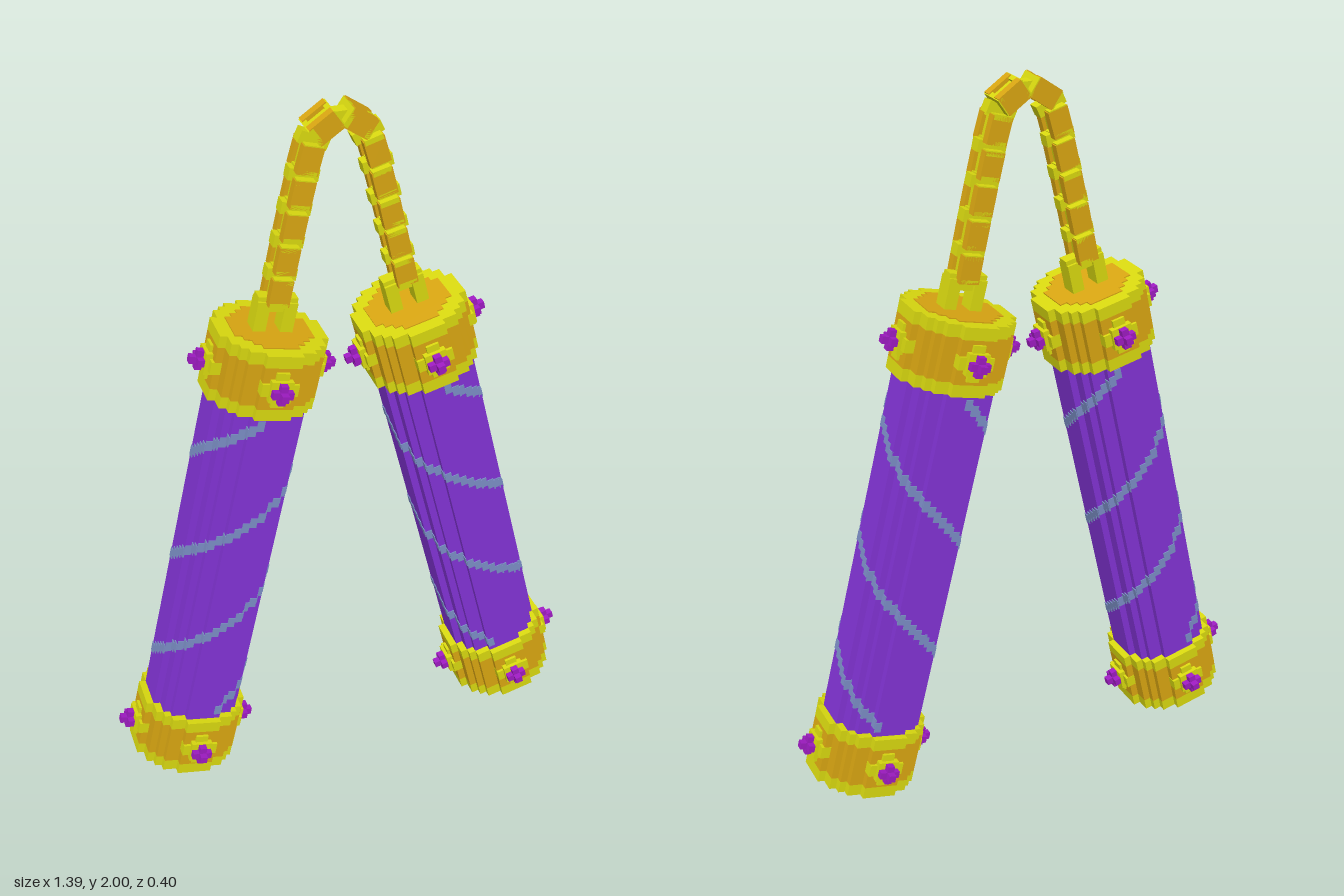
import * as THREE from 'three';

const mat = (name, color) => {
  const m = new THREE.MeshStandardMaterial({ color });
  m.name = name;
  return m;
};
const V = 0.0197; // voxel size
const LENGTH = 1.41, CAP = 0.19, RIM = 0.034;

// Stair-stepped disc n cells across: half-width in cells for every row
function discRows(n) {
  const rows = [];
  for (let i = 0; i < n; i++) {
    const d = i - (n - 1) / 2;
    rows.push(Math.floor(Math.sqrt(n * n / 4 - d * d)) + 0.5);
  }
  return rows;
}

// Upright prism with a stair-stepped round section
function voxelPrism(n, height) {
  const right = [], left = [];
  discRows(n).forEach((w, i) => {
    for (const e of [i, i + 1]) {
      const y = (e - n / 2) * V;
      right.push(new THREE.Vector2(w * V, y));
      left.unshift(new THREE.Vector2(-w * V, y));
    }
  });
  const pts = [...right, ...left].filter((p, i, a) => i === 0 || p.distanceTo(a[i - 1]) > 1e-6);
  const g = new THREE.ExtrudeGeometry(new THREE.Shape(pts), { depth: height, bevelEnabled: false });
  return g.rotateX(-Math.PI / 2);
}

function add(parent, name, geometry, material, x = 0, y = 0, z = 0) {
  const m = new THREE.Mesh(geometry, material);
  m.name = name;
  m.position.set(x, y, z);
  parent.add(m);
  return m;
}
const box = (w, h, d) => new THREE.BoxGeometry(w, h, d);

export function createModel() {
  const purple = mat('purple grip', 0x8434d8);
  const yellow = mat('yellow gold', 0xdcdc10);
  const orange = mat('orange gold', 0xdca812);
  const violet = mat('violet gem', 0xa01cc4);
  const blue = mat('blue stripe', 0x7d90c8);
  const model = new THREE.Group();
  model.name = 'chainedSticks';

  // Stepped gem setting pointing along +z
  function makeGem() {
    const g = new THREE.Group();
    g.name = 'gem';
    const r = 7.5 * V;
    add(g, 'settingBase', box(0.1, 0.035, 0.03), yellow, 0, 0, r - 0.007);
    add(g, 'settingBase', box(0.035, 0.1, 0.03), yellow, 0, 0, r - 0.007);
    add(g, 'settingStep', box(0.06, 0.06, 0.036), yellow, 0, 0, r);
    add(g, 'gemBar', box(0.056, 0.02, 0.02), violet, 0, 0, r + 0.026);
    add(g, 'gemBar', box(0.02, 0.056, 0.02), violet, 0, 0, r + 0.026);
    add(g, 'gemTip', box(0.02, 0.02, 0.04), violet, 0, 0, r + 0.034);
    return g;
  }

  // Collar with two rims and four gems
  function makeCap() {
    const g = new THREE.Group();
    g.name = 'cap';
    const rim = voxelPrism(15, RIM);
    add(g, 'lowerRim', rim, yellow);
    add(g, 'band', voxelPrism(15, CAP - 2 * RIM), orange, 0, RIM);
    add(g, 'upperRim', rim, yellow, 0, CAP - RIM);
    for (let i = 0; i < 4; i++) {
      const gem = makeGem();
      gem.position.y = CAP / 2;
      gem.rotation.y = i * Math.PI / 2;
      g.add(gem);
    }
    return g;
  }

  // Two spiral stripes, laid as plates on the exposed voxel faces
  function addStripes(parent, hand) {
    const n = 13, rows = discRows(n), c = (n - 1) / 2;
    const filled = (x, z) => Math.abs(z) <= c && Math.abs(x) < rows[z + c];
    const geometry = box(V, 0.03, 0.005);
    for (let z = -c; z <= c; z++) for (let x = -c; x <= c; x++) {
      if (!filled(x, z)) continue;
      for (const [dx, dz] of [[1, 0], [-1, 0], [0, 1], [0, -1]]) {
        if (filled(x + dx, z + dz)) continue;
        const fx = x + dx / 2, fz = z + dz / 2;
        const base = 0.868 + hand * 0.34 * Math.atan2(fx, fz) / Math.PI;
        for (let k = -3; k <= 3; k++) {
          const y = base + k * 0.34;
          if (y < CAP + 0.015 || y > LENGTH - CAP - 0.015) continue;
          add(parent, 'stripe', geometry, blue, fx * V, y, fz * V).rotation.y = Math.atan2(dx, dz);
        }
      }
    }
  }

  function makeHandle(name, hand) {
    const g = new THREE.Group();
    g.name = name;
    add(g, 'grip', voxelPrism(13, LENGTH - 2 * CAP + 0.04), purple, 0, CAP - 0.02);
    addStripes(g, hand);
    const low = makeCap(), high = makeCap();
    high.position.y = LENGTH - CAP;
    g.add(low, high);
    const plate = voxelPrism(11, 0.004);
    add(g, 'endPlate', plate, orange, 0, -0.003);
    add(g, 'endPlate', plate, orange, 0, LENGTH - 0.001);
    // Staple that holds the chain
    for (const s of [-1, 1]) add(g, 'staplePost', box(0.034, 0.09, 0.05), yellow, s * 0.037, LENGTH + 0.04);
    add(g, 'stapleBar', box(0.108, 0.025, 0.036), yellow, 0, LENGTH + 0.085);
    return g;
  }

  const a = makeHandle('rightHandle', 1);
  a.position.set(-0.515, 0.034, 0);
  a.rotation.z = -THREE.MathUtils.degToRad(12.9);
  const b = makeHandle('leftHandle', -1);
  b.position.set(0.52, 0.043, 0);
  b.rotation.z = THREE.MathUtils.degToRad(14);
  model.add(a, b);

  // Chain along an arched path
  const side = [[0.178, 1.48], [0.142, 1.64], [0.104, 1.8], [0.078, 1.9], [0.045, 1.955]];
  const path = new THREE.CatmullRomCurve3([
    ...side.map(([x, y]) => new THREE.Vector3(-0.01 - x, y, 0)),
    new THREE.Vector3(-0.01, 1.967, 0),
    ...side.slice().reverse().map(([x, y]) => new THREE.Vector3(-0.01 + x, y, 0)),
  ]);
  const count = 12;
  const rail = box(0.056, 0.074, 0.024), end = box(0.05, 0.014, 0.08);
  const core = box(0.036, 0.08, 0.03), joint = box(0.08, 0.032, 0.034);
  const place = (name, u) => {
    const g = new THREE.Group();
    g.name = name;
    g.position.copy(path.getPointAt(u));
    const t = path.getTangentAt(u);
    g.rotation.z = Math.atan2(-t.x, t.y);
    model.add(g);
    return g;
  };
  for (let i = 0; i < count; i++) {
    const link = place('chainLink', (i + 0.5) / count);
    for (const s of [-1, 1]) {
      add(link, 'linkRail', rail, orange, 0, 0, s * 0.028);
      add(link, 'linkEnd', end, yellow, 0, s * 0.033, 0);
    }
    add(link, 'linkCore', core, yellow);
  }
  for (let i = 0; i <= count; i++) {
    const mid = i === count / 2;
    add(place('chainJoint', i / count), 'joint', mid ? box(0.04, 0.032, 0.034) : joint, yellow);
  }
  return model;
}
